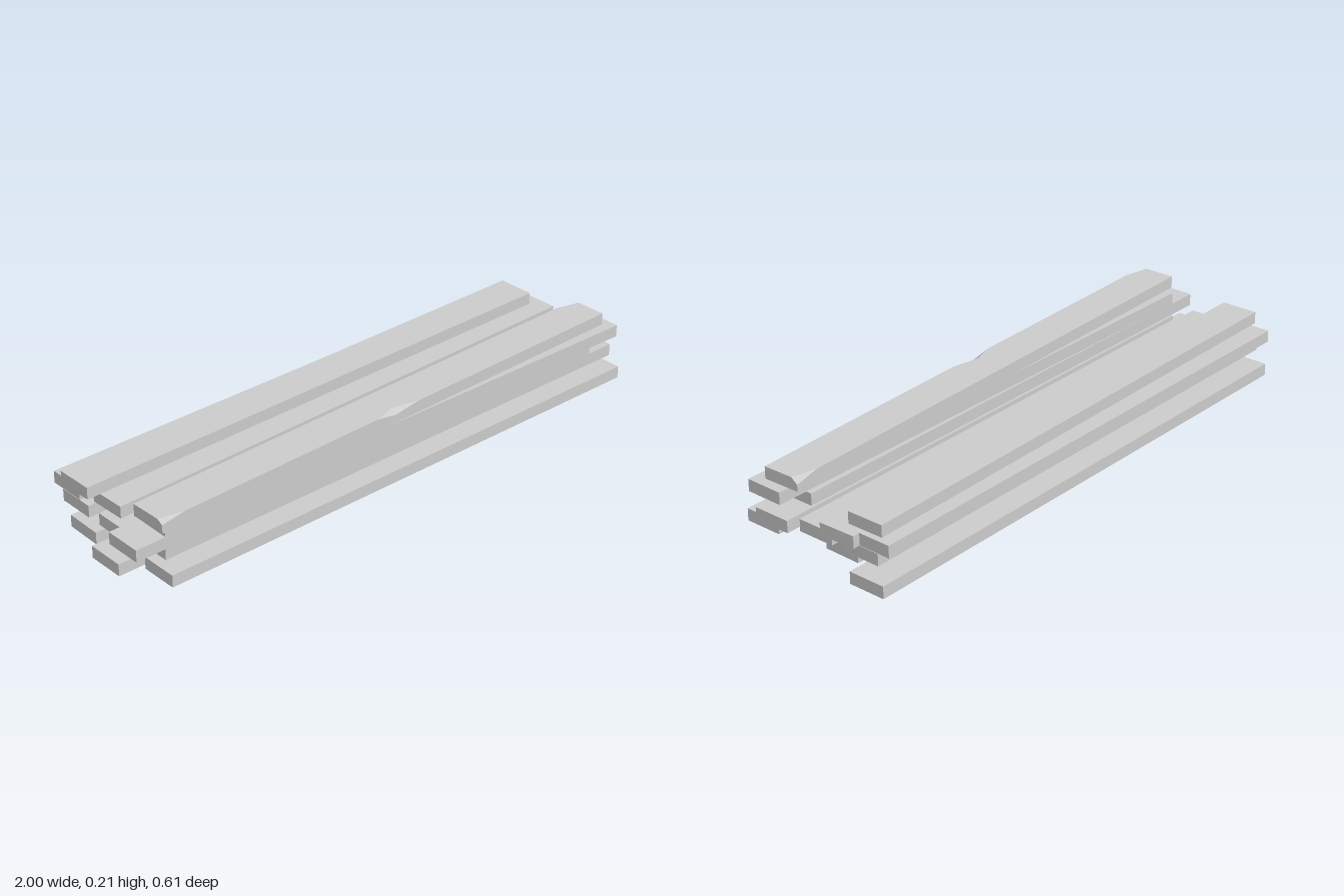
import * as THREE from 'three';

const LENGTH = 1.85, HEIGHT = 0.0405, WIDTH = 0.128;
const LAYER_Y = [0, 0.0437, 0.0857, 0.126, 0.1665];
const material = new THREE.MeshStandardMaterial({ color: 0xcccccc, flatShading: true });

// Places a plank by its centre x, and the centre z of its left-hand (-x) and right-hand (+x) ends.
function placePlank(geometry, name, layer, x, zNeg, zPos) {
  const mesh = new THREE.Mesh(geometry, material);
  mesh.name = name;
  mesh.position.set(x, LAYER_Y[layer] + HEIGHT / 2, (zNeg + zPos) / 2);
  mesh.rotation.y = -Math.asin((zPos - zNeg) / LENGTH);
  return mesh;
}

// Plank lofted along x, with chips cut from its upper edges.
// Each section: [x, front chip width, front chip depth, back chip width, back chip depth]
function chippedPlank(sections) {
  const h = HEIGHT / 2, w = WIDTH / 2;
  const rings = sections.map(([x, fw, fd, bw, bd]) => [
    [-h, w], [h - fd, w], [h, w - fw], [h, -w + bw], [h - bd, -w], [-h, -w],
  ].map(([y, z]) => new THREE.Vector3(x, y, z)));
  const positions = [];
  const tri = (a, b, c) => {
    if (new THREE.Triangle(a, b, c).getArea() > 1e-8) {
      for (const p of [a, b, c]) positions.push(p.x, p.y, p.z);
    }
  };
  for (let i = 0; i < rings.length - 1; i++) {
    const r = rings[i], s = rings[i + 1];
    for (let j = 0; j < 6; j++) {
      const k = (j + 1) % 6;
      tri(r[j], s[j], s[k]);
      tri(r[j], s[k], r[k]);
    }
  }
  // End caps
  const first = rings[0], last = rings[rings.length - 1];
  for (let j = 1; j < 5; j++) {
    tri(first[0], first[j], first[j + 1]);
    tri(last[0], last[j + 1], last[j]);
  }
  const geometry = new THREE.BufferGeometry();
  geometry.setAttribute('position', new THREE.Float32BufferAttribute(positions, 3));
  geometry.computeVertexNormals();
  return geometry;
}

export function createModel() {
  const group = new THREE.Group();
  group.name = 'plankStack';
  const box = new THREE.BoxGeometry(LENGTH, HEIGHT, WIDTH);

  // Whole planks: name, layer, centre x, z at the -x end, z at the +x end
  const planks = [
    ['bottomPlankFront', 0, 0.005, 0.241, 0.241],
    ['bottomPlankMidFront', 0, -0.075, 0.095, 0.095],
    ['bottomPlankMidBack', 0, -0.025, -0.082, -0.05],
    ['bottomPlankBack', 0, 0.072, -0.239, -0.239],
    ['secondPlankFront', 1, 0.037, 0.17, 0.17],
    ['secondPlankMiddle', 1, 0.005, 0.023, 0.023],
    ['secondPlankBack', 1, 0.005, -0.157, -0.157],
    ['thirdPlankFront', 2, -0.07, 0.177, 0.177],
    ['thirdPlankMiddle', 2, 0.032, -0.037, -0.088],
    ['thirdPlankBack', 2, 0.005, -0.2, -0.2],
    ['fourthPlankFront', 3, 0.035, 0.176, 0.198],
    ['fourthPlankBack', 3, -0.015, -0.131, -0.155],
  ];
  for (const [name, layer, x, zNeg, zPos] of planks) {
    group.add(placePlank(box, name, layer, x, zNeg, zPos));
  }

  // Top plank, chipped at two corners and halfway along its front edge
  const chipped = chippedPlank([
    [-0.925, 0.02, 0.012, 0, 0],
    [-0.84, 0, 0, 0, 0],
    [-0.09, 0, 0, 0, 0],
    [-0.015, 0.022, 0.013, 0, 0],
    [0.085, 0, 0, 0, 0],
    [0.84, 0, 0, 0, 0],
    [0.925, 0, 0, 0.022, 0.018],
  ]);
  group.add(placePlank(chipped, 'topPlank', 4, 0, 0.208, 0.161));
  return group;
}
